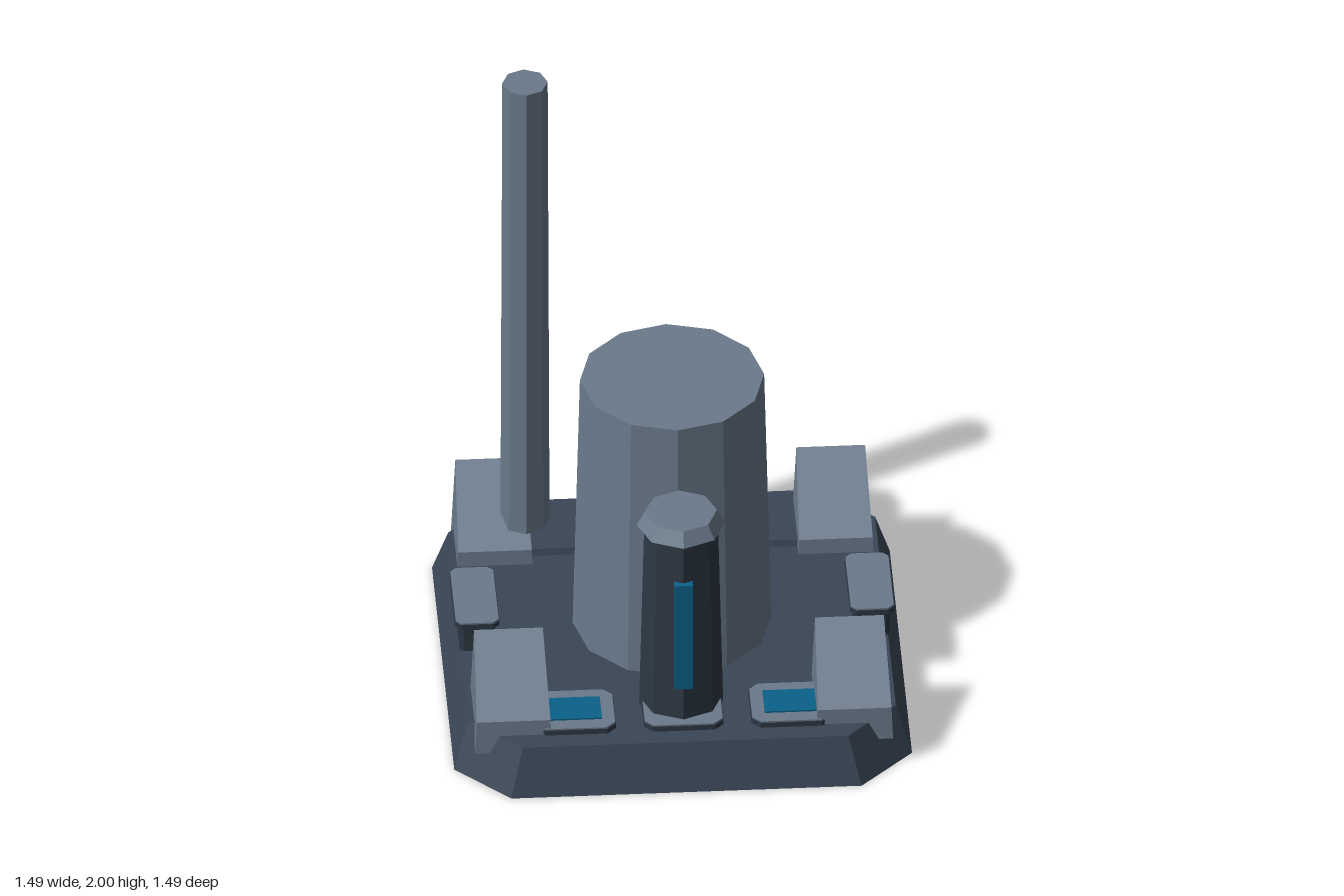
import * as THREE from 'three';

const mat = (name, color) => Object.assign(
  new THREE.MeshStandardMaterial({ color, side: THREE.DoubleSide, flatShading: true }), { name });

// Flat-faced skin through loops of points, listed from the bottom up
function loft(loops, capTop = true, capBottom = false) {
  const pos = [];
  const tri = (a, b, c) => pos.push(...a, ...b, ...c);
  const n = loops[0].length;
  for (let k = 0; k < loops.length - 1; k++) {
    const lo = loops[k], hi = loops[k + 1];
    for (let i = 0; i < n; i++) {
      const j = (i + 1) % n;
      tri(lo[i], lo[j], hi[j]);
      tri(lo[i], hi[j], hi[i]);
    }
  }
  const top = loops[loops.length - 1], bottom = loops[0];
  for (let i = 1; i < n - 1; i++) {
    if (capTop) tri(top[0], top[i], top[i + 1]);
    if (capBottom) tri(bottom[0], bottom[i + 1], bottom[i]);
  }
  const g = new THREE.BufferGeometry();
  g.setAttribute('position', new THREE.Float32BufferAttribute(pos, 3));
  g.computeVertexNormals();
  return g;
}

// Rectangle with cut corners at height y
const cutRect = (y, hx, hz, c) => [
  [hx - c, y, hz], [hx, y, hz - c], [hx, y, c - hz], [hx - c, y, -hz],
  [c - hx, y, -hz], [-hx, y, c - hz], [-hx, y, hz - c], [c - hx, y, hz],
];

export function createModel() {
  const root = new THREE.Group();
  root.name = 'industrialPlant';
  const steel = mat('lightSteel', 0x6a7a8b);
  const slate = mat('slate', 0x3a4756);
  const dark = mat('darkSlate', 0x2d3844);
  const teal = mat('tealPanel', 0x0b6189);

  const add = (name, geometry, material, x = 0, y = 0, z = 0, parent = root) => {
    const m = new THREE.Mesh(geometry, material);
    m.name = name;
    m.position.set(x, y, z);
    parent.add(m);
    return m;
  };
  const column = (rTop, rBottom, y0, y1, sides, open = false) =>
    new THREE.CylinderGeometry(rTop, rBottom, y1 - y0, sides, 1, open).translate(0, (y0 + y1) / 2, 0);

  // Hollow base with sloping sides, open underneath
  add('base', loft([cutRect(0, 0.745, 0.745, 0.175), cutRect(0.165, 0.695, 0.695, 0.165)]), slate);

  // Central tank
  add('tankWall', column(0.3, 0.325, 0.11, 1.125, 12, true), steel);
  add('tankTop', new THREE.CircleGeometry(0.3, 12).rotateX(-Math.PI / 2), steel, 0, 1.125, 0);

  // Chimney
  add('chimney', column(0.074, 0.08, 0.26, 2, 8), steel, -0.45, 0, -0.45);

  // Front and back towers with caps, light strips and links to the tank
  for (const s of [1, -1]) {
    const tower = new THREE.Group();
    tower.name = s > 0 ? 'frontTower' : 'backTower';
    tower.position.z = s * 0.465;
    root.add(tower);
    add('shaft', column(0.12, 0.137, 0.16, 0.875, 8), dark, 0, 0, 0, tower);
    add('cap', column(0.117, 0.145, 0.872, 0.92, 8), steel, 0, 0, 0, tower);
    add('lightStrip', new THREE.BoxGeometry(0.06, 0.41, 0.03), teal, 0, 0.515, 0.124, tower);
    add('link', loft([cutRect(0.12, 0.06, 0.165, 0.025), cutRect(0.26, 0.06, 0.165, 0.025)]),
      steel, 0, 0, s * 0.215);
  }

  // Corner wedges, each sloping down towards the front
  const wedge = loft([
    [[-0.125, 0.1, 0.147], [0.125, 0.1, 0.147], [0.125, 0.1, -0.147], [-0.125, 0.1, -0.147]],
    [[-0.12, 0.22, 0.143], [0.12, 0.22, 0.143], [0.112, 0.4, -0.125], [-0.112, 0.4, -0.125]],
  ]);
  for (const x of [-0.555, 0.555]) {
    for (const z of [-0.48, 0.48]) add('cornerWedge', wedge, steel, x, 0, z);
  }

  // Floor pads: dark at the back, steel-topped at the front
  const backPad = loft([cutRect(0.16, 0.13, 0.13, 0.03), cutRect(0.187, 0.122, 0.122, 0.028)]);
  const frontPad = loft([cutRect(0.16, 0.13, 0.11, 0.03), cutRect(0.183, 0.13, 0.11, 0.03)]);
  const padTop = loft([cutRect(0.183, 0.127, 0.107, 0.029), cutRect(0.188, 0.127, 0.107, 0.029)]);
  for (const x of [-0.35, 0, 0.35]) {
    add('backPad', backPad, slate, x, 0, -0.51);
    add('frontPad', frontPad, dark, x, 0, 0.522);
    add('frontPadTop', padTop, steel, x, 0, 0.522);
    if (x) add('padScreen', new THREE.BoxGeometry(0.17, 0.008, 0.12), teal, x, 0.19, 0.522);
  }

  // Side pods with a flared rim and a steel lid
  const pod = loft([
    cutRect(0.14, 0.055, 0.14, 0.015), cutRect(0.262, 0.06, 0.143, 0.015),
    cutRect(0.266, 0.073, 0.16, 0.02), cutRect(0.282, 0.073, 0.16, 0.02),
  ]);
  const lid = loft([cutRect(0.282, 0.07, 0.157, 0.019), cutRect(0.287, 0.07, 0.157, 0.019)]);
  for (const x of [-0.643, 0.643]) {
    add('sidePod', pod, dark, x);
    add('sidePodLid', lid, steel, x);
  }
  return root;
}
